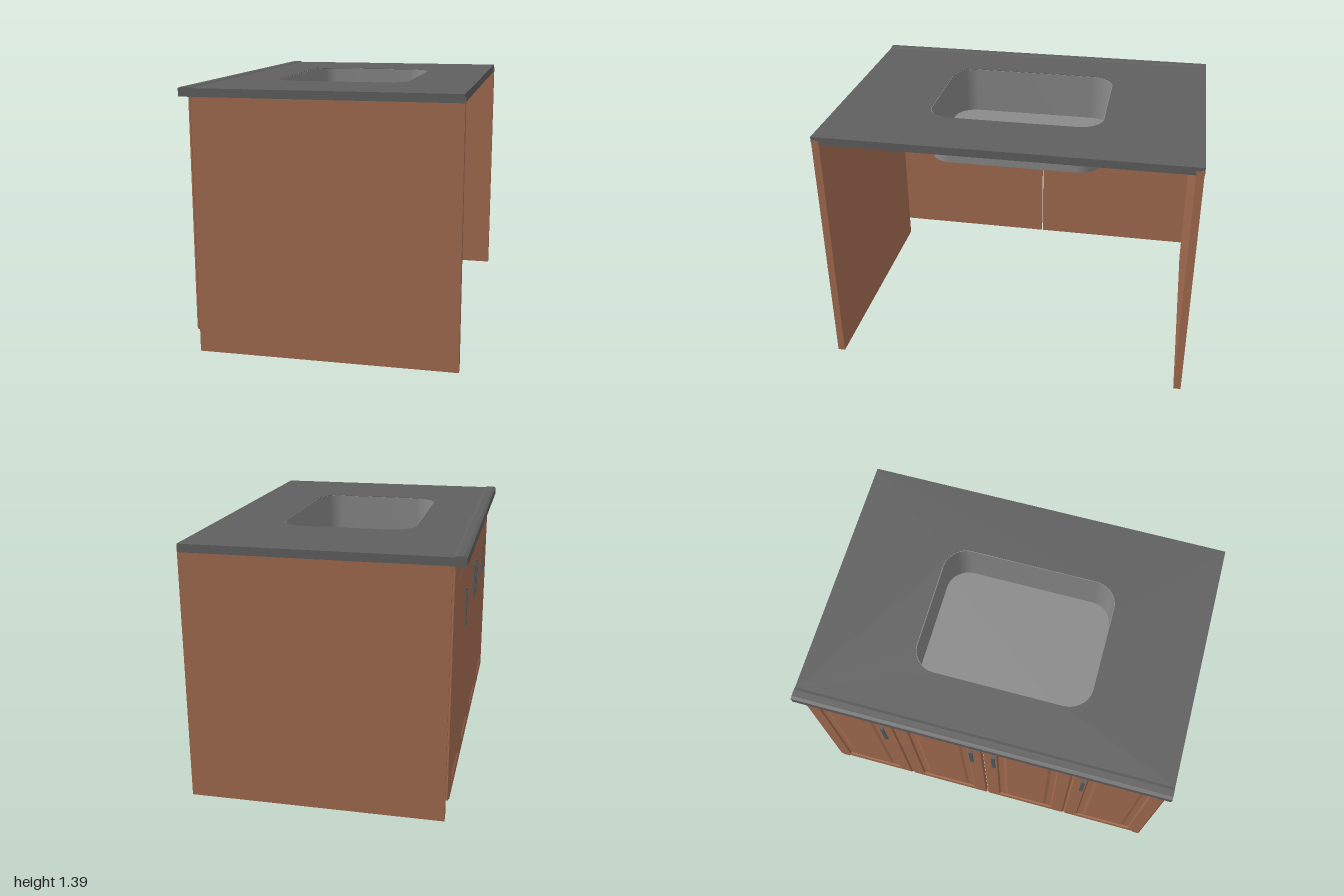
import * as THREE from 'three';
import { toCreasedNormals } from 'three/addons/utils/BufferGeometryUtils.js';

const paint = (name, color) => {
  const m = new THREE.MeshStandardMaterial({ color });
  m.name = name;
  return m;
};

// Sink outline: centre, half sizes and corner radius
const SINK = { x: -0.015, z: 0.0125, hx: 0.365, hz: 0.4775, r: 0.13 };
const TOP = 1.38, UNDER = 1.337;

function add(parent, name, geometry, material, x = 0, y = 0, z = 0) {
  const mesh = new THREE.Mesh(geometry, material);
  mesh.name = name;
  mesh.position.set(x, y, z);
  parent.add(mesh);
  return mesh;
}

function trace(path, cx, cy, hx, hy, r = 0) {
  if (!r) {
    path.moveTo(cx - hx, cy - hy).lineTo(cx + hx, cy - hy);
    path.lineTo(cx + hx, cy + hy).lineTo(cx - hx, cy + hy).closePath();
    return path;
  }
  path.moveTo(cx - hx + r, cy - hy);
  path.absarc(cx + hx - r, cy - hy + r, r, -Math.PI / 2, 0);
  path.absarc(cx + hx - r, cy + hy - r, r, 0, Math.PI / 2);
  path.absarc(cx - hx + r, cy + hy - r, r, Math.PI / 2, Math.PI);
  path.absarc(cx - hx + r, cy - hy + r, r, Math.PI, Math.PI * 1.5);
  return path.closePath();
}

const sinkOutline = (path, inset = 0) =>
  trace(path, SINK.x, SINK.z, SINK.hx - inset, SINK.hz - inset, SINK.r - inset);

// Extrudes an x-z outline downwards from y = 0
const slab = (shape, depth) => toCreasedNormals(
  new THREE.ExtrudeGeometry(shape, { depth, bevelEnabled: false, curveSegments: 12 })
    .rotateX(Math.PI / 2), 0.6);

// Half width of the sink cut-out at a given z
function sinkHalfWidth(z) {
  const d = Math.abs(z - SINK.z), { hx, hz, r } = SINK;
  if (d > hz + 0.01) return 0;
  const t = Math.max(0, d - (hz - r));
  return hx - r + Math.sqrt(Math.max(0, r * r - t * t));
}

// Flat downward strip beside the sink on one side
function underStrip(z0, z1, side) {
  const edge = side > 0 ? 0.71 : -0.645, points = [new THREE.Vector2(edge, z0)];
  for (let i = 0; i <= 60; i++) {
    const z = z0 + (z1 - z0) * i / 60;
    points.push(new THREE.Vector2(SINK.x + side * sinkHalfWidth(z), z));
  }
  points.push(new THREE.Vector2(edge, z1));
  return new THREE.ShapeGeometry(new THREE.Shape(points)).rotateX(Math.PI / 2);
}

function makeDoorFront(wood, metal, handleSide) {
  const door = new THREE.Group(), w = 0.492, h = 1.22;
  const fw = w / 2 - 0.085, fh = h / 2 - 0.07;

  // Chamfered frame
  const frame = trace(new THREE.Shape(), 0, 0, w / 2, h / 2);
  frame.holes.push(trace(new THREE.Path(), 0, 0, fw, fh));
  add(door, 'doorFrame', new THREE.ExtrudeGeometry(frame, {
    depth: 0.004, bevelThickness: 0.008, bevelSize: 0.008, bevelOffset: -0.008, bevelSegments: 1,
  }), wood, 0, 0, 0.008);

  // Raised centre field
  const field = trace(new THREE.Shape(), 0, 0, fw - 0.03, fh - 0.03);
  add(door, 'doorField', new THREE.ExtrudeGeometry(field, {
    depth: 0.004, bevelThickness: 0.006, bevelSize: 0.016, bevelOffset: -0.016, bevelSegments: 1,
  }), wood, 0, 0, 0.008);

  // Bar handle on two posts
  const handle = new THREE.Group();
  handle.name = 'handle';
  handle.position.set(handleSide * (w / 2 - 0.06), 1.015 - 0.7275, 0);
  add(handle, 'handleBar', new THREE.BoxGeometry(0.02, 0.2, 0.007), metal, 0, 0, 0.0325);
  for (const s of [-1, 1])
    add(handle, 'handlePost', new THREE.BoxGeometry(0.018, 0.01, 0.014), metal, 0, s * 0.094, 0.025);
  door.add(handle);
  return door;
}

export function createModel() {
  const model = new THREE.Group();
  model.name = 'sinkCabinet';
  const wood = paint('wood', 0xa56d51);
  const stone = paint('darkStone', 0x606060);
  const steel = paint('sinkGrey', 0x8a8a8a);
  const metal = paint('handleMetal', 0x505e62);
  const blue = paint('blue', 0x0a2fa8);
  const cyan = paint('cyan', 0x249ecf);
  const purple = paint('purple', 0xb824ce);
  const mauve = paint('mauve', 0xd084d6);

  // Side panels
  for (const s of [-1, 1])
    add(model, 'sidePanel', new THREE.BoxGeometry(1.357, 1.36, 0.04), wood, 0.0335, 0.68, s * 0.978);

  // Countertop with sink cut-out
  const top = trace(new THREE.Shape(), 0.0325, 0, 0.6775, 1);
  top.holes.push(sinkOutline(new THREE.Path()));
  add(model, 'countertop', slab(top, TOP - UNDER), stone, 0, TOP, 0);

  // Slightly raised nosing over the doors
  const nose = new THREE.Shape();
  nose.moveTo(-0.645, UNDER).lineTo(-0.645, TOP);
  nose.lineTo(-0.66, 1.386).lineTo(-0.695, 1.386).lineTo(-0.712, 1.38).lineTo(-0.712, UNDER).closePath();
  add(model, 'countertopNosing',
    new THREE.ExtrudeGeometry(nose, { depth: 2, bevelEnabled: false }), stone, 0, 0, -1);

  // Coloured strips on the underside
  const strips = [
    [0.38, 0.74, steel], [0, 0.38, blue], [-0.36, 0, cyan],
    [-0.71, -0.36, purple], [-0.957, -0.71, mauve],
  ];
  for (const [z0, z1, material] of strips)
    for (const side of [-1, 1])
      add(model, 'undersideStrip', underStrip(z0, z1, side), material, 0, UNDER - 0.001, 0);

  // Sink bowl: thin wall and floor
  const wall = sinkOutline(new THREE.Shape());
  wall.holes.push(sinkOutline(new THREE.Path(), 0.004));
  add(model, 'sinkWall', slab(wall, 0.268), steel, 0, TOP - 0.002, 0);
  add(model, 'sinkFloor', slab(sinkOutline(new THREE.Shape(), 0.002), 0.005), steel, 0, 1.115, 0);

  // Doors: two backing boards carrying four panelled fronts
  const doors = new THREE.Group();
  doors.name = 'doors';
  doors.position.set(-0.645, 0.7275, 0);
  doors.rotation.y = -Math.PI / 2;
  for (const s of [-1, 1])
    add(doors, 'doorBoard', new THREE.BoxGeometry(0.986, 1.22, 0.012), wood, s * 0.497, 0, 0.006);
  [1, 1, -1, -1].forEach((handleSide, i) => {
    const door = makeDoorFront(wood, metal, handleSide);
    door.name = 'doorFront';
    door.position.x = (i - 1.5) * 0.497;
    doors.add(door);
  });
  model.add(doors);
  return model;
}
